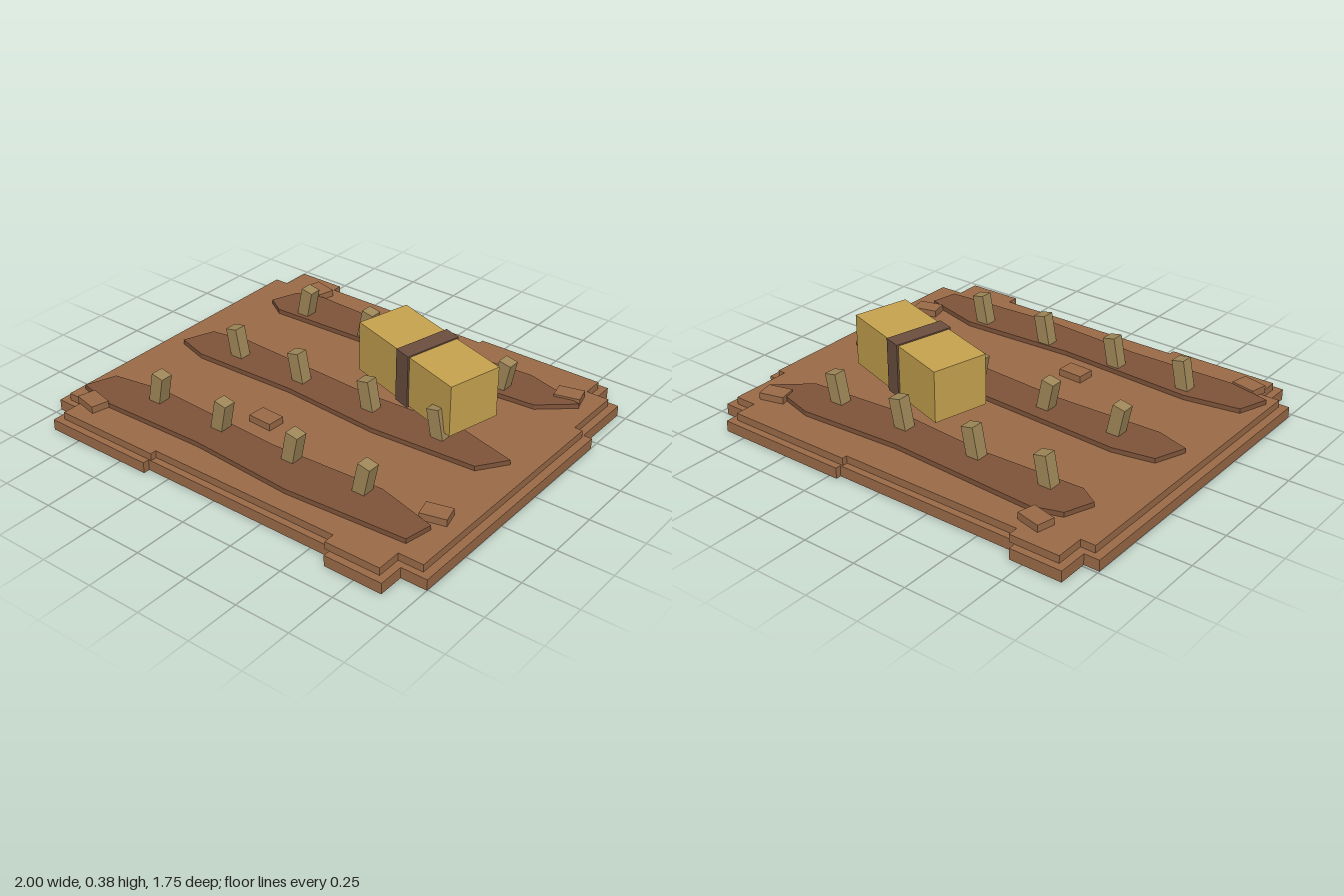
import * as THREE from 'three';

const mat = (name, color, flatShading = true) => {
  const m = new THREE.MeshStandardMaterial({ color, flatShading });
  m.name = name;
  return m;
};

// Horizontal slab from a plan outline of [x, z] points
function slab(name, outline, y, height, material, scale = 1) {
  const shape = new THREE.Shape(outline.map(([x, z]) => new THREE.Vector2(x * scale, -z * scale)));
  const geo = new THREE.ExtrudeGeometry(shape, { depth: height, bevelEnabled: false });
  geo.rotateX(-Math.PI / 2);
  const mesh = new THREE.Mesh(geo, material);
  mesh.name = name;
  mesh.position.y = y;
  return mesh;
}

function box(name, size, position, material) {
  const mesh = new THREE.Mesh(new THREE.BoxGeometry(...size), material);
  mesh.name = name;
  mesh.position.set(...position);
  return mesh;
}

export function createModel() {
  const soil = mat('soil brown', 0x9b6b48);
  const furrow = mat('dark furrow brown', 0x7f543a);
  const straw = mat('dry straw', 0xa18959);
  const hay = mat('hay yellow', 0xc8a44f);
  const strap = mat('strap brown', 0x6d5040);
  const model = new THREE.Group();
  model.name = 'harvestedField';

  // Two stepped layers of ground with a ragged edge
  const edge = [
    [-0.93, -0.88], [-0.69, -0.88], [-0.69, -0.83], [0.21, -0.83], [0.21, -0.855], [0.85, -0.855],
    [0.85, -0.75], [0.96, -0.75], [0.96, -0.45], [1, -0.45], [1, 0.755], [0.88, 0.755],
    [0.88, 0.875], [0.61, 0.875], [0.61, 0.82], [-0.36, 0.82], [-0.36, 0.85], [-0.9, 0.85],
    [-0.9, 0.72], [-1, 0.72], [-1, -0.74], [-0.93, -0.74],
  ];
  model.add(slab('lowerGround', edge, 0, 0.05, soil));
  model.add(slab('upperGround', edge, 0.05, 0.034, soil, 0.962));

  // Three raised furrows
  const furrows = [
    [[-0.81, -0.5], [-0.76, -0.63], [-0.63, -0.672], [0.08, -0.635], [0.57, -0.66],
      [0.86, -0.577], [0.71, -0.45], [0.27, -0.418], [-0.23, -0.46], [-0.72, -0.443]],
    [[-0.875, 0.06], [-0.82, -0.085], [-0.63, -0.12], [0.08, -0.082], [0.57, -0.105],
      [0.86, -0.027], [0.77, 0.1], [0.27, 0.13], [-0.21, 0.095], [-0.72, 0.108]],
    [[-0.935, 0.625], [-0.885, 0.485], [-0.63, 0.443], [0.02, 0.48], [0.57, 0.455],
      [0.86, 0.535], [0.835, 0.663], [0.27, 0.695], [-0.23, 0.66], [-0.74, 0.67]],
  ];
  furrows.forEach((outline) => model.add(slab('furrow', outline, 0.08, 0.026, furrow)));

  // Cut stalks, leaning the opposite way in the middle row
  [[-0.5, -0.2], [0, 0.2], [0.51, -0.2]].forEach(([z, lean]) => {
    [-0.585, -0.225, 0.16, 0.523].forEach((x) => {
      const stalk = box('stalk', [0.06, 0.17, 0.06], [x, 0.156, z], straw);
      stalk.rotation.z = lean;
      model.add(stalk);
    });
  });

  // Loose clods: x, z, turn
  [
    [-0.695, -0.72, -0.24], [0.785, -0.62, 0.25], [-0.13, 0.34, -0.05],
    [0.83, 0.455, 0.25], [-0.81, 0.695, -0.23],
  ].forEach(([x, z, turn]) => {
    const clod = box('clod', [0.117, 0.036, 0.083], [x, 0.098, z], soil);
    clod.rotation.y = turn;
    model.add(clod);
  });

  // Hay bale with a strap, slightly skewed in plan
  const bale = new THREE.Group();
  bale.name = 'hayBale';
  bale.position.set(0.31, 0.256, -0.21);
  bale.scale.z = 1.155;
  const turned = new THREE.Group();
  turned.name = 'baleTurn';
  turned.rotation.y = -0.281;
  turned.add(box('baleBody', [0.651, 0.237, 0.232], [0, 0, 0], hay));
  turned.add(box('baleStrap', [0.083, 0.249, 0.247], [0, 0, 0], strap));
  bale.add(turned);
  model.add(bale);

  return model;
}
